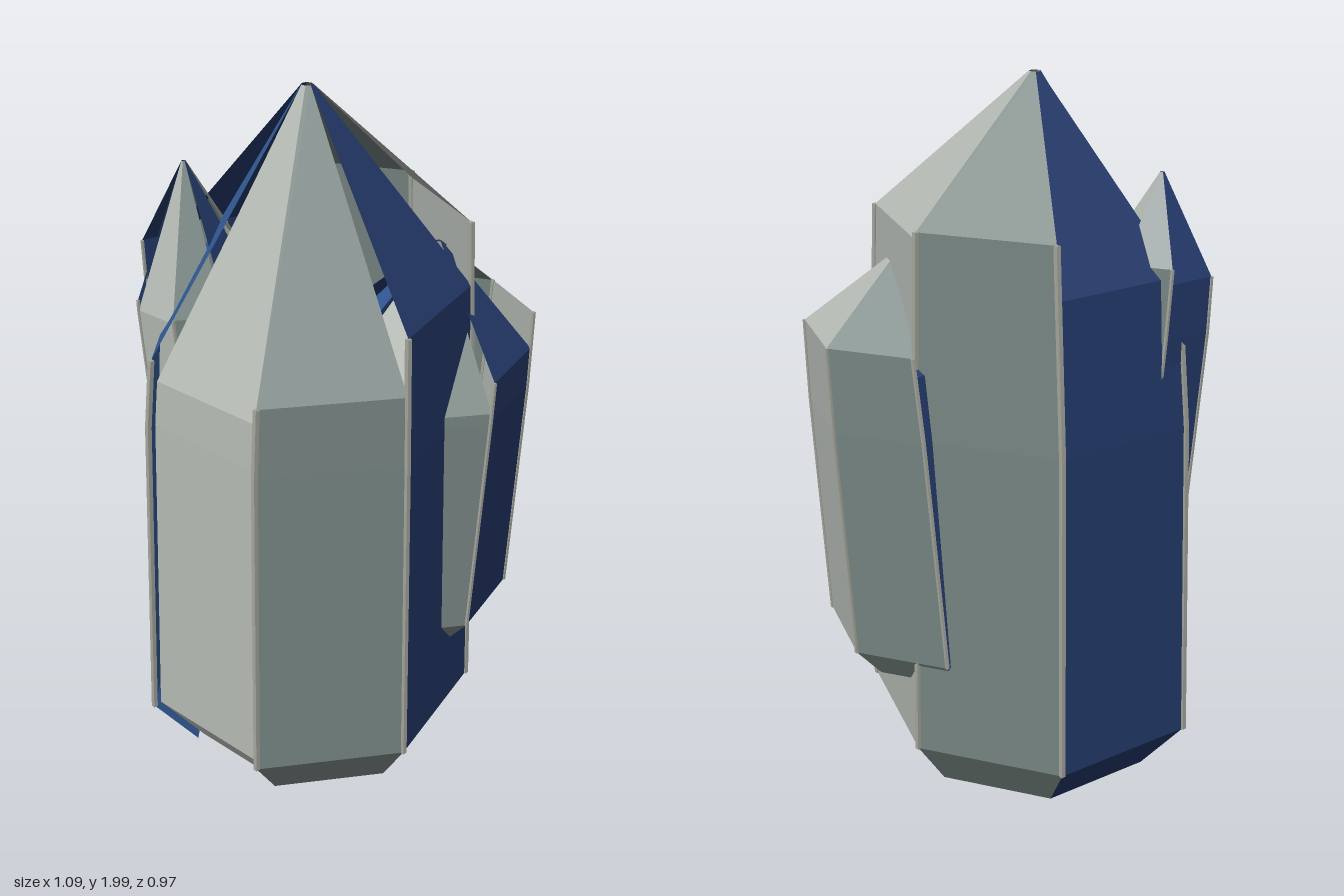
import * as THREE from 'three';

const SIDES = 7;

function makeMaterial(name, color) {
  const m = new THREE.MeshStandardMaterial({ color, side: THREE.DoubleSide, flatShading: true });
  m.name = name;
  return m;
}

// Radius and axis position of a crystal at height y, from rings [y, radius, x]
function sample(rings, y) {
  let i = 0;
  while (i < rings.length - 2 && y > rings[i + 1][0]) i++;
  const [a, b] = [rings[i], rings[i + 1]];
  const t = (y - a[0]) / (b[0] - a[0]);
  return [y, a[1] + (b[1] - a[1]) * t, a[2] + (b[2] - a[2]) * t];
}

function corner([y, r, x], z, k) {
  const a = (k / SIDES) * Math.PI * 2;
  return new THREE.Vector3(x + Math.cos(a) * r, y, z + Math.sin(a) * r);
}

// Rings up to a panel's own shoulder height
function ringsTo(c, y) {
  return [...c.rings.filter((r) => r[0] < y - 0.01), sample(c.rings, y)];
}

// One facet of the shell: foot bevel, shaft and its slice of the point
function panel(c, k) {
  const rings = [...ringsTo(c, c.shoulders[k]), c.tip];
  const mid = ((k + 0.5) / SIDES) * Math.PI * 2;
  const out = c.offsets ? c.offsets[k] : 0;
  const pos = [];
  const index = [];
  rings.forEach((ring, i) => {
    const d = i === rings.length - 1 ? 0 : out;
    for (const e of [k, k + 1]) {
      const p = corner(ring, c.z, e);
      pos.push(p.x + Math.cos(mid) * d, p.y, p.z + Math.sin(mid) * d);
    }
    if (i > 0) {
      const n = i * 2;
      index.push(n - 1, n - 2, n, n - 1, n, n + 1);
    }
  });
  const g = new THREE.BufferGeometry();
  g.setAttribute('position', new THREE.Float32BufferAttribute(pos, 3));
  g.setIndex(index);
  const flat = g.toNonIndexed();
  flat.computeVertexNormals();
  return flat;
}

// Thin square rod between two points
function rod(a, b, radius) {
  const g = new THREE.CylinderGeometry(radius, radius, a.distanceTo(b), 4);
  const dir = b.clone().sub(a).normalize();
  g.applyQuaternion(new THREE.Quaternion().setFromUnitVectors(new THREE.Vector3(0, 1, 0), dir));
  const m = a.clone().add(b).multiplyScalar(0.5);
  return g.translate(m.x, m.y, m.z);
}

export function createModel() {
  const group = new THREE.Group();
  group.name = 'crystalCluster';

  const facets = [
    makeMaterial('navy', 0x243a6b),
    makeMaterial('slate', 0x74827f),
    makeMaterial('paleGrey', 0xb4bab4),
    makeMaterial('blue', 0x35609f),
  ];
  const seam = makeMaterial('seamGrey', 0xa6a89e);

  // rings: [height, radius, axis x]; shoulders: where each facet turns in to the point
  const crystals = [
    {
      name: 'mainCrystal', z: 0, rod: 0.009,
      rings: [[0, 0.372, -0.07], [0.16, 0.487, -0.083], [1.1, 0.458, -0.075], [1.65, 0.42, -0.06]],
      shoulders: [1.45, 1.29, 1.23, 1.3, 1.51, 1.65, 1.63],
      offsets: [0, 0, -0.025, 0, 0, 0, 0],
      tip: [1.99, 0.016, -0.065],
    },
    {
      name: 'rightCrystal', z: -0.1, rod: 0.006,
      rings: [[0.35, 0.25, 0.18], [0.44, 0.31, 0.2], [1.1, 0.292, 0.25], [1.33, 0.275, 0.272]],
      shoulders: [1.22, 1.13, 1.15, 1.2, 1.28, 1.33, 1.33],
      tip: [1.535, 0.008, 0.28],
    },
    {
      name: 'leftCrystal', z: -0.08, rod: 0.005,
      rings: [[0.7, 0.12, -0.345], [0.77, 0.16, -0.35], [1.35, 0.158, -0.39], [1.55, 0.15, -0.402]],
      shoulders: [1.45, 1.36, 1.35, 1.38, 1.5, 1.54, 1.52],
      tip: [1.755, 0.006, -0.4],
    },
  ];

  for (const c of crystals) {
    const crystal = new THREE.Group();
    crystal.name = c.name;
    for (let k = 0; k < SIDES; k++) {
      const facet = new THREE.Mesh(panel(c, k), facets[k % 4]);
      facet.name = 'facet' + k;
      crystal.add(facet);

      // Seam rods follow the shaft edge between neighbouring facets
      const top = Math.max(c.shoulders[k], c.shoulders[(k + SIDES - 1) % SIDES]);
      const path = ringsTo(c, top).slice(1).map((r) => corner(r, c.z, k));
      for (let i = 1; i < path.length; i++) {
        const edge = new THREE.Mesh(rod(path[i - 1], path[i], c.rod), seam);
        edge.name = 'edgeSeam' + k;
        crystal.add(edge);
      }
    }
    group.add(crystal);
  }
  return group;
}
